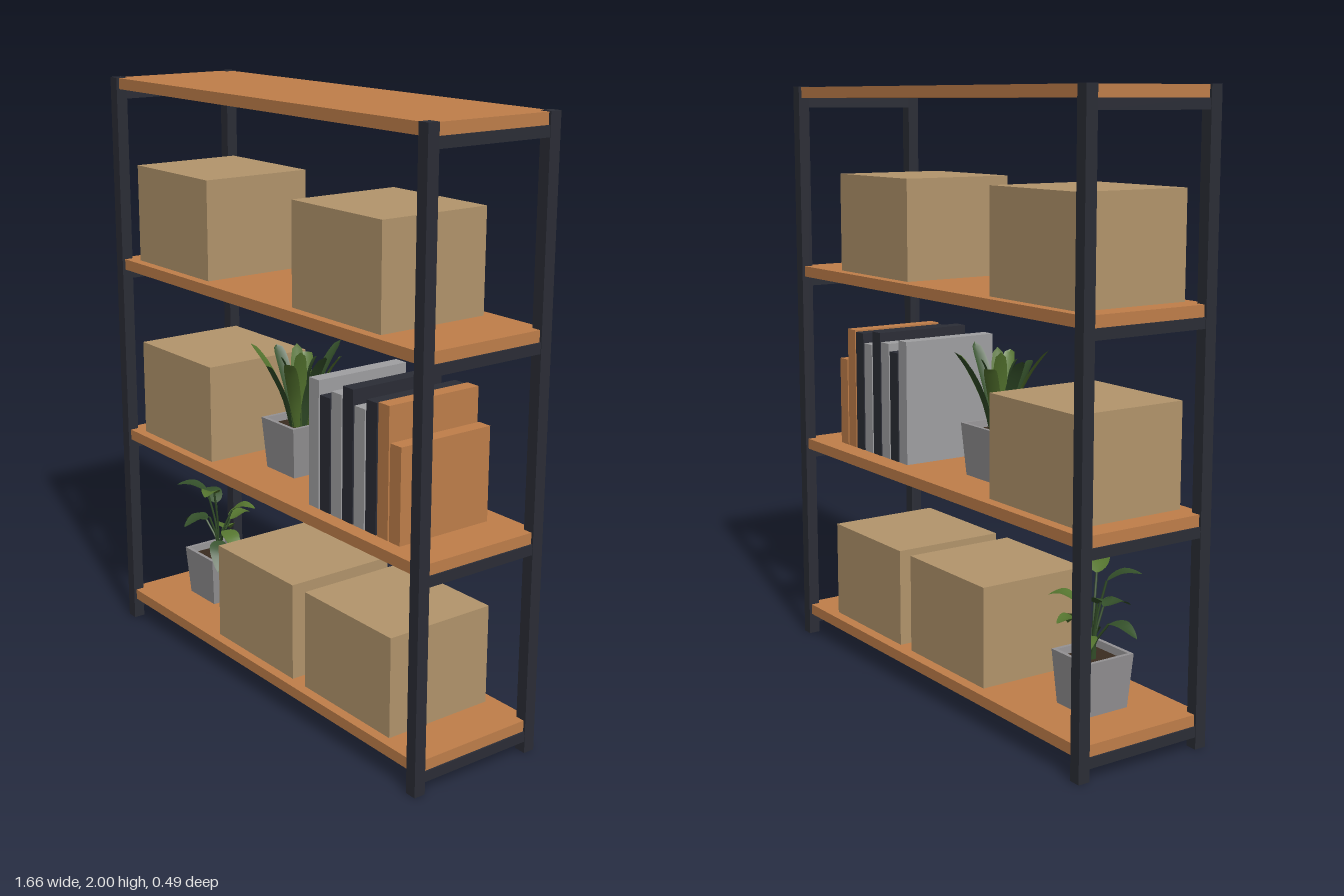
import * as THREE from 'three';

const mat = (name, color, side = THREE.FrontSide) => {
  const m = new THREE.MeshStandardMaterial({ color, side });
  m.name = name;
  return m;
};

export function createModel() {
  const wood = mat('wood', 0xc07f4a);
  const metal = mat('dark metal', 0x2b2d36);
  const card = mat('cardboard', 0xb3956c);
  const grey = mat('grey binder', 0xa0a0a2);
  const potMat = mat('concrete', 0x949294);
  const soilMat = mat('soil', 0x3a2c20);
  const darkLeaf = mat('dark leaf', 0x34502a, THREE.DoubleSide);
  const lightLeaf = mat('light leaf', 0x55752f, THREE.DoubleSide);
  const root = new THREE.Group();
  root.name = 'shelfUnit';

  const add = (name, geometry, material, parent = root) => {
    const mesh = new THREE.Mesh(geometry, material);
    mesh.name = name;
    parent.add(mesh);
    return mesh;
  };
  // box given by its centre in x and z and by its underside
  const box = (name, w, h, d, x, y, z, material) =>
    add(name, new THREE.BoxGeometry(w, h, d), material).position.set(x, y + h / 2, z);

  // frame: corner posts, planks and the side beams under them
  for (const sx of [-1, 1])
    for (const sz of [-1, 1]) box('post', 0.04, 2, 0.04, sx * 0.81, 0, sz * 0.226, metal);
  const tops = [0.11, 0.74, 1.37, 1.998];
  for (const y of tops) {
    box('shelf', 1.644, 0.037, 0.472, 0, y - 0.037, 0, wood);
    for (const sx of [-1, 1]) box('sideBeam', 0.036, 0.034, 0.42, sx * 0.81, y - 0.071, 0, metal);
  }

  // cardboard boxes: x centre, shelf
  for (const [x, s] of [[-0.06, 0], [0.44, 0], [-0.525, 1], [-0.525, 2], [0.375, 2]])
    box('storageBox', 0.432, 0.334, 0.4, x, tops[s], 0.002, card);

  // row of binders
  [[1.16, grey], [1.115, metal], [1.14, grey], [1.17, metal], [1.122, grey],
    [1.155, metal], [1.16, wood], [1.048, wood]].forEach(([top, m], i) =>
    box('binder', 0.05, top - 0.74, 0.35, 0.249 + i * 0.0566, 0.74, 0.01, m));

  // square tapered pot with a rim and soil
  const pot = (name, x, y) => {
    const plant = new THREE.Group();
    plant.name = name;
    plant.position.set(x, y, 0);
    root.add(plant);
    const profile = [[0, 0], [0.077, 0], [0.09, 0.175], [0.077, 0.175], [0.074, 0.15]]
      .map(([r, h]) => new THREE.Vector2(r * Math.SQRT2, h));
    const shell = new THREE.LatheGeometry(profile, 4, Math.PI / 4).toNonIndexed();
    shell.computeVertexNormals();
    add('pot', shell, potMat, plant);
    const soil = new THREE.PlaneGeometry(0.15, 0.15).rotateX(-Math.PI / 2);
    add('soil', soil, soilMat, plant).position.y = 0.152;
    return plant;
  };

  // folded leaf along a curve of (radius, height) points, turned to an angle
  const leaf = (plant, angle, points, halfWidth, shape, fold, material) => {
    const a = THREE.MathUtils.degToRad(angle);
    const curve = new THREE.SplineCurve(points.map(([r, h]) => new THREE.Vector2(r, h)));
    const n = 10, pos = [], index = [];
    for (let i = 0; i <= n; i++) {
      const t = i / n, p = curve.getPoint(t), d = curve.getTangent(t);
      const w = halfWidth * shape(t);
      for (const s of [-1, 0, 1]) {
        const lift = Math.abs(s) * w * fold;
        const r = p.x - d.y * lift, h = p.y + d.x * lift;
        pos.push(Math.cos(a) * r - Math.sin(a) * w * s, h, Math.sin(a) * r + Math.cos(a) * w * s);
      }
      if (i < n) for (const k of [0, 1]) {
        const b = i * 3 + k;
        index.push(b, b + 1, b + 3, b + 1, b + 4, b + 3);
      }
    }
    const g = new THREE.BufferGeometry();
    g.setAttribute('position', new THREE.Float32BufferAttribute(pos, 3));
    g.setIndex(index);
    g.computeVertexNormals();
    add('leaf', g, material, plant);
  };

  // upright plant with sword-shaped leaves: outer ring and inner ring
  const sword = pot('swordLeafPlant', -0.08, 0.74);
  const swordShape = (t) => (0.55 + 0.9 * t) * Math.sqrt(Math.max(0, 1 - t ** 2.5));
  for (let i = 0; i < 8; i++) {
    const tip = 0.165 - (i % 3) * 0.02, h = 0.425 - (i % 3) * 0.025;
    leaf(sword, i * 45 + 5, [[0.03, 0.14], [0.06, 0.25], [0.11, 0.35], [tip, h]],
      0.025, swordShape, 0.3, i % 2 ? lightLeaf : darkLeaf);
  }
  for (let i = 0; i < 4; i++)
    leaf(sword, i * 90 + 30, [[0.012, 0.14], [0.025, 0.25], [0.04, 0.34], [0.06, 0.42 - (i % 2) * 0.03]],
      0.025, swordShape, 0.3, i % 2 ? darkLeaf : lightLeaf);

  // bushy plant: angle, blade base radius and height, tip radius and height
  const bushy = pot('bushyPlant', -0.58, 0.11);
  const oval = (t) => Math.sin(Math.PI * t ** 0.75);
  [[130, 0.04, 0.4, 0.15, 0.425], [50, 0.05, 0.41, 0.165, 0.435], [200, 0.04, 0.34, 0.14, 0.37],
    [-40, 0.05, 0.33, 0.14, 0.345], [165, 0.06, 0.275, 0.165, 0.25], [10, 0.06, 0.27, 0.165, 0.215],
    [35, 0.055, 0.23, 0.16, 0.145], [270, 0.05, 0.28, 0.14, 0.29], [90, 0.04, 0.31, 0.15, 0.295],
    [230, 0.05, 0.24, 0.15, 0.2]].forEach(([angle, r0, h0, r1, h1], i) => {
    const a = THREE.MathUtils.degToRad(angle);
    const at = (r, h) => new THREE.Vector3(Math.cos(a) * r, h, Math.sin(a) * r);
    const path = new THREE.CatmullRomCurve3([at(0.008, 0.145), at(0.01, (h0 + 0.13) / 2), at(r0, h0)]);
    add('stem', new THREE.TubeGeometry(path, 8, 0.004, 5), darkLeaf, bushy);
    leaf(bushy, angle, [[r0, h0], [(r0 + r1) / 2, (h0 + h1) / 2 + 0.015], [r1, h1]],
      0.032, oval, 0.25, i % 2 ? lightLeaf : darkLeaf);
  });

  return root;
}
